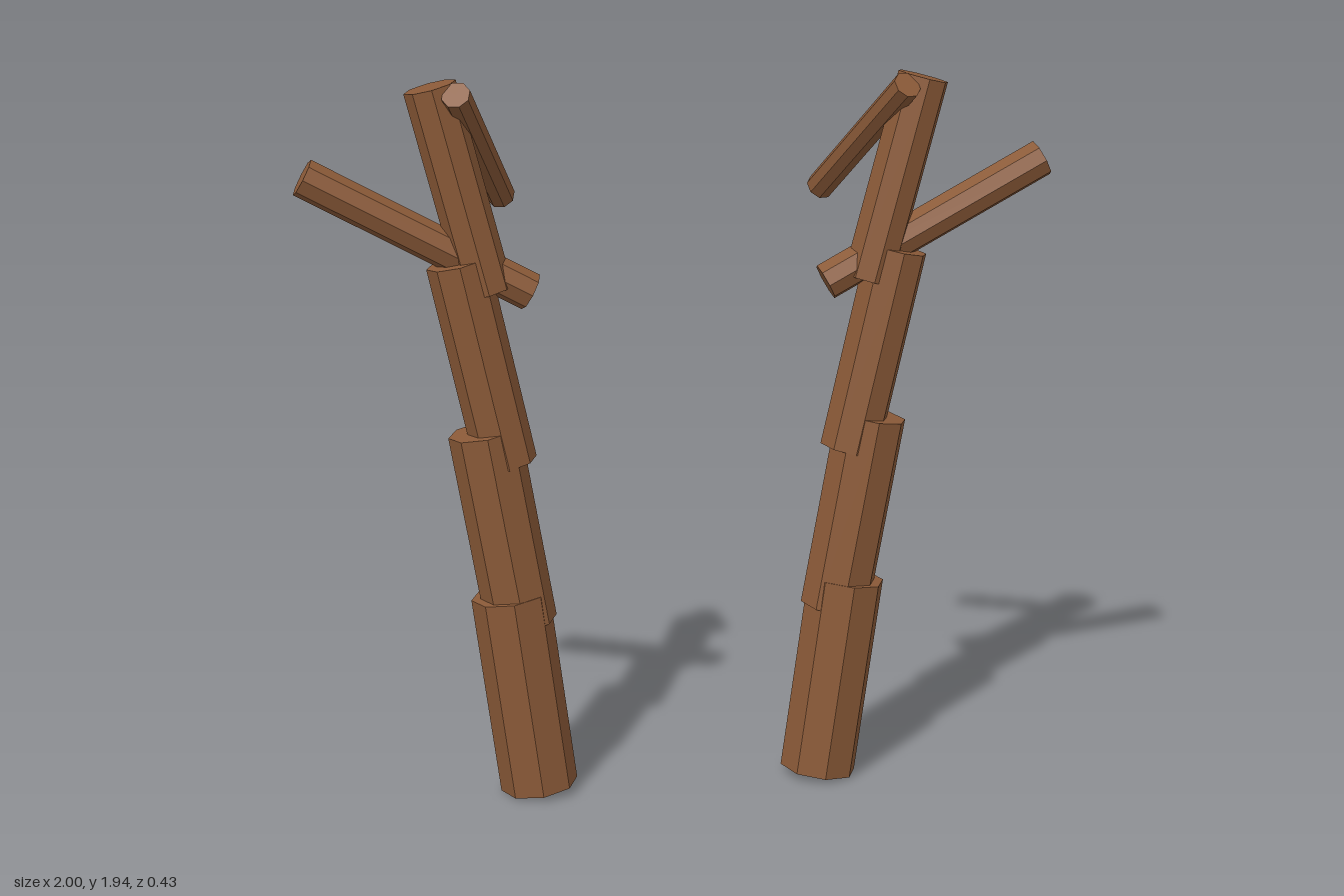
import * as THREE from 'three';

export function createModel() {
  const group = new THREE.Group();
  group.name = 'branchPair';
  const bark = new THREE.MeshStandardMaterial({ color: 0x8b5a38, flatShading: true });
  const Z = 0.108;

  // Each piece: name, start point, end point, radius (left-hand side)
  const pieces = [
    ['trunkBase', [0.388, 0.014, Z], [0.46, 0.562, Z], 0.105],
    ['trunkLower', [0.43, 0.482, Z], [0.522, 1.015, Z], 0.096],
    ['trunkUpper', [0.464, 0.925, Z], [0.584, 1.469, Z], 0.082],
    ['trunkTip', [0.508, 1.39, Z], [0.645, 1.924, Z], 0.069],
    ['sideBranch', [0.393, 1.383, 0.103], [0.974, 1.7, 0.103], 0.051],
    ['backBranch', [0.585, 1.912, 0.18], [0.437, 1.588, -0.188], 0.038],
  ];

  // Eight-sided log between two points
  function log(name, a, b, radius) {
    const dir = b.clone().sub(a);
    const mesh = new THREE.Mesh(new THREE.CylinderGeometry(radius, radius, dir.length(), 8), bark);
    mesh.position.copy(a).add(b).multiplyScalar(0.5);
    mesh.quaternion.setFromUnitVectors(new THREE.Vector3(0, 1, 0), dir.normalize());
    mesh.name = name;
    return mesh;
  }

  // Mirrored pair of stems
  for (const side of [1, -1]) {
    const stem = new THREE.Group();
    stem.name = side > 0 ? 'leftStem' : 'rightStem';
    for (const [name, a, b, radius] of pieces) {
      const [start, end] = [a, b].map(([x, y, z]) => new THREE.Vector3(side * x, y, z));
      stem.add(log(name, start, end, radius));
    }
    group.add(stem);
  }
  return group;
}
